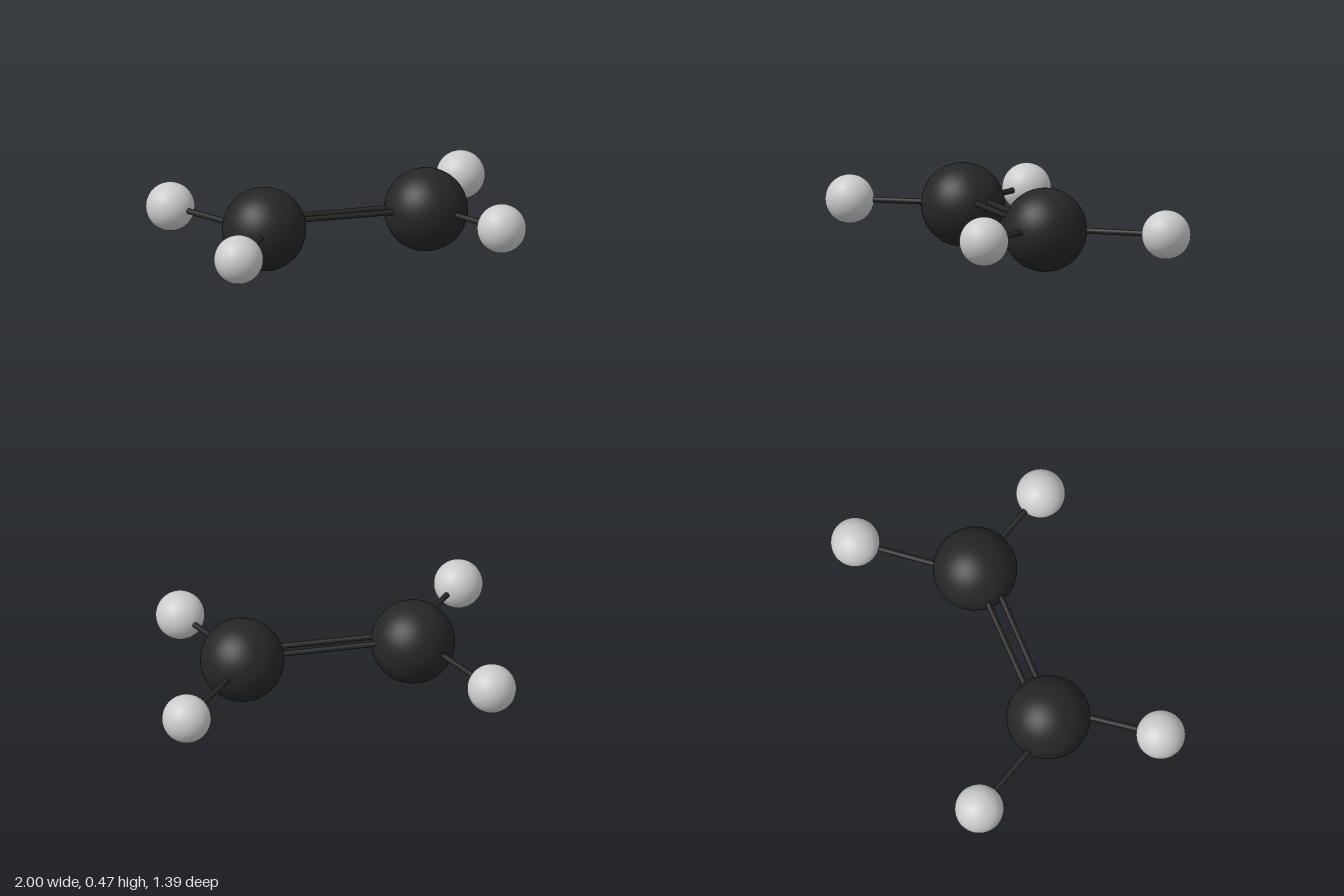
import * as THREE from 'three';

const grey = new THREE.MeshStandardMaterial({ color: 0xcccccc });
const dark = new THREE.MeshStandardMaterial({ color: 0x262626 });

const BOND_RADIUS = 0.016;

// A smooth ball for one atom
function makeAtom(name, position, radius, material) {
  const mesh = new THREE.Mesh(new THREE.SphereGeometry(radius, 48, 32), material);
  mesh.name = name;
  mesh.position.set(...position);
  return mesh;
}

// A thin rod between two points
function makeBond(name, from, to) {
  const a = new THREE.Vector3(...from);
  const b = new THREE.Vector3(...to);
  const dir = b.clone().sub(a);
  const geometry = new THREE.CylinderGeometry(BOND_RADIUS, BOND_RADIUS, dir.length(), 20);
  const mesh = new THREE.Mesh(geometry, dark);
  mesh.name = name;
  mesh.position.copy(a).add(b).multiplyScalar(0.5);
  mesh.quaternion.setFromUnitVectors(new THREE.Vector3(0, 1, 0), dir.normalize());
  return mesh;
}

export function createModel() {
  const model = new THREE.Group();
  model.name = 'molecule';

  // Two large dark atoms
  model.add(makeAtom('largeAtomRight', [-0.513, 0.235, 0.022], 0.234, dark));
  model.add(makeAtom('largeAtomLeft', [0.456, 0.235, -0.013], 0.234, dark));

  // Double bond joining them
  model.add(makeBond('doubleBondBack', [-0.45, 0.277, -0.031], [0.4, 0.257, -0.031]));
  model.add(makeBond('doubleBondFront', [-0.45, 0.277, 0.044], [0.4, 0.257, 0.054]));

  // Four small outer atoms, each with its own rod: [name, atom centre, inner rod end]
  const outer = [
    ['BackRight', [-0.864, 0.237, -0.543], [-0.56, 0.235, 0.02]],
    ['FrontRight', [-0.857, 0.254, 0.555], [-0.45, 0.25, 0.022]],
    ['BackLeft', [0.861, 0.228, -0.566], [0.41, 0.235, -0.013]],
    ['FrontLeft', [0.721, 0.246, 0.494], [0.456, 0.25, -0.013]],
  ];
  for (const [name, centre, inner] of outer) {
    model.add(makeAtom('smallAtom' + name, centre, 0.137, grey));
    model.add(makeBond('bond' + name, inner, centre));
  }

  return model;
}
